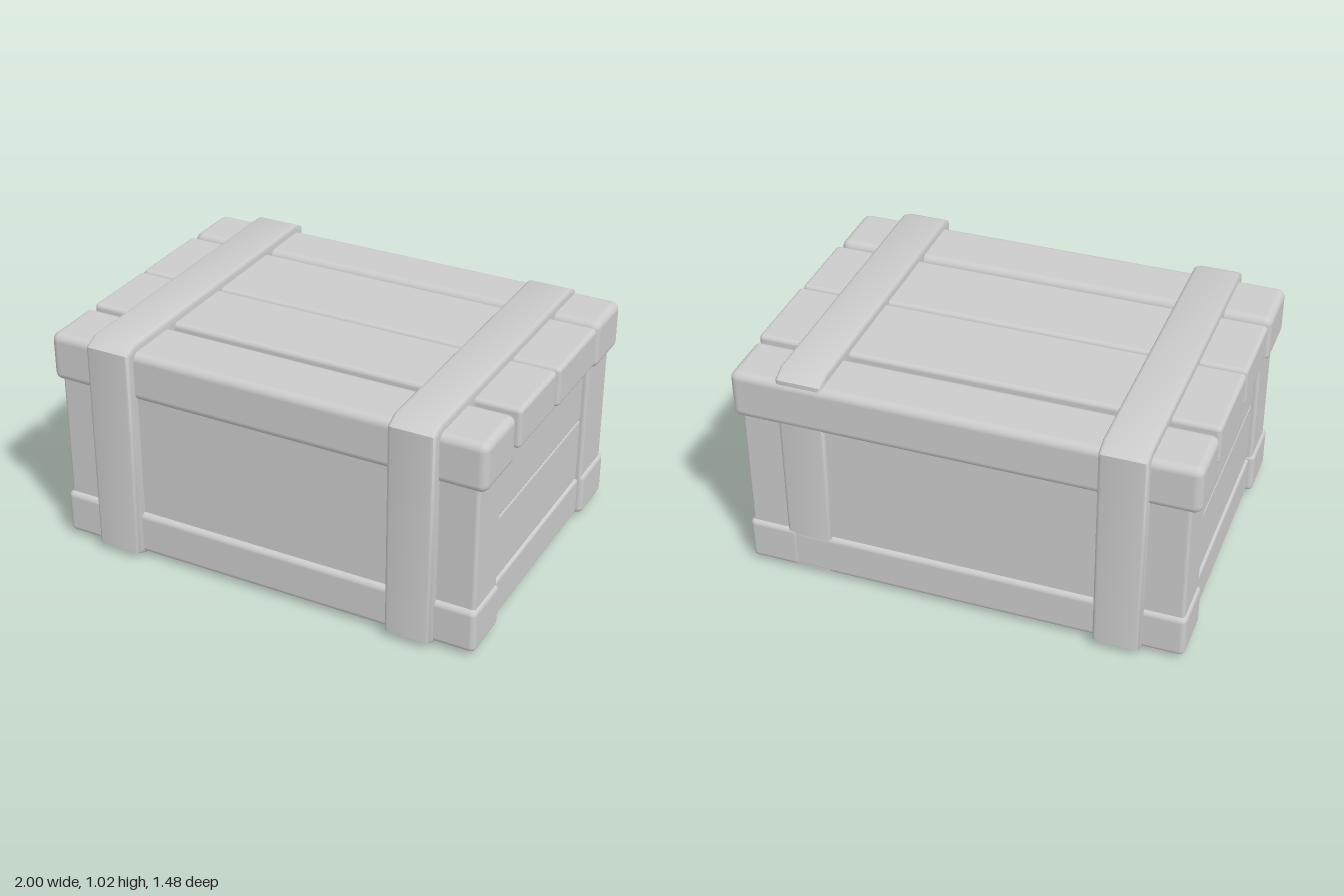
import * as THREE from 'three';
import { toCreasedNormals } from 'three/addons/utils/BufferGeometryUtils.js';
import { RoundedBoxGeometry } from 'three/addons/geometries/RoundedBoxGeometry.js';

const material = new THREE.MeshStandardMaterial({ color: 0xcccccc });

// Soft-edged timber given by its extents on each axis
function timber(group, name, [x0, x1], [y0, y1], [z0, z1], radius = 0.02) {
  const geometry = new RoundedBoxGeometry(x1 - x0, y1 - y0, z1 - z0, 3, radius);
  const mesh = new THREE.Mesh(geometry, material);
  mesh.position.set((x0 + x1) / 2, (y0 + y1) / 2, (z0 + z1) / 2);
  mesh.name = name;
  group.add(mesh);
}

// Rectangle with cut corners, in (z, y)
function cutRect(Type, a0, a1, b0, b1, ca, cb) {
  return new Type([
    [a0 + ca, b0], [a1 - ca, b0], [a1, b0 + cb], [a1, b1 - cb],
    [a1 - ca, b1], [a0 + ca, b1], [a0, b1 - cb], [a0, b0 + cb],
  ].map(([a, b]) => new THREE.Vector2(a, b)));
}

// Closed band wrapped round the crate in the zy plane
function strap(group, name, x, z0, z1) {
  const bevel = 0.018, width = 0.205, t = 0.1;
  const y0 = 0, y1 = 1.022;
  const shape = cutRect(THREE.Shape, z0 + bevel, z1 - bevel, y0 + bevel, y1 - bevel, 0.05, 0.025);
  shape.holes.push(cutRect(THREE.Path, z0 + t, z1 - t, y0 + t, y1 - t, 0.02, 0.02));
  const geometry = new THREE.ExtrudeGeometry(shape, {
    depth: width - 2 * bevel, bevelThickness: bevel, bevelSize: bevel, bevelSegments: 3,
  });
  geometry.translate(0, 0, -width / 2 + bevel);
  geometry.rotateY(-Math.PI / 2);
  const mesh = new THREE.Mesh(toCreasedNormals(geometry, 0.9), material);
  mesh.position.x = x;
  mesh.name = name;
  group.add(mesh);
}

export function createModel() {
  const crate = new THREE.Group();
  crate.name = 'crate';

  // Walls and floor
  timber(crate, 'frontPanel', [-0.95, 0.95], [0.1, 0.9], [0.58, 0.675], 0.01);
  timber(crate, 'backPanel', [-0.95, 0.95], [0.1, 0.9], [-0.685, -0.58], 0.01);
  timber(crate, 'floor', [-0.94, 0.94], [0.03, 0.1], [-0.6, 0.6], 0.01);
  timber(crate, 'innerLid', [-0.94, 0.94], [0.82, 0.92], [-0.6, 0.6], 0.01);

  for (const side of [-1, 1]) {
    const span = (a, b) => (side > 0 ? [a, b] : [-b, -a]);
    const label = side > 0 ? 'left' : 'right';

    // Three horizontal planks close each end
    [[0.025, 0.2], [0.195, 0.5], [0.495, 0.92]].forEach((y, i) =>
      timber(crate, `${label}EndPlank${i + 1}`, span(0.82, i ? 0.935 : 0.945), y, [-0.55, 0.55], 0.015));

    // Corner posts with heavier feet
    for (const [end, z, footZ] of [
      ['Front', [0.46, 0.68], [0.455, 0.7]],
      ['Back', [-0.69, -0.46], [-0.705, -0.46]],
    ]) {
      timber(crate, `${label}${end}Post`, span(0.74, 0.96), [0.1, 0.85], z, 0.015);
      timber(crate, `${label}${end}Foot`, span(0.74, 0.972), [0.02, 0.22], footZ, 0.025);
    }
  }

  // Bottom rails along the front and back
  timber(crate, 'frontBottomRail', [-0.96, 0.96], [0.02, 0.215], [0.47, 0.698], 0.025);
  timber(crate, 'backBottomRail', [-0.96, 0.96], [0.02, 0.215], [-0.703, -0.47], 0.025);

  // Lid: heavy edge beams with two boards between them
  timber(crate, 'frontLidBeam', [-1, 0.99], [0.765, 0.983], [0.405, 0.692], 0.035);
  timber(crate, 'backLidBeam', [-1, 0.995], [0.765, 0.983], [-0.71, -0.445], 0.035);
  timber(crate, 'frontLidBoard', [-0.995, 0.993], [0.803, 0.983], [0.004, 0.375], 0.02);
  timber(crate, 'backLidBoard', [-0.995, 1], [0.803, 0.983], [-0.418, -0.004], 0.02);

  // Straps; the left one sits deeper into the back wall
  strap(crate, 'rightStrap', -0.69, -0.742, 0.735);
  strap(crate, 'leftStrap', 0.69, -0.702, 0.735);

  return crate;
}
